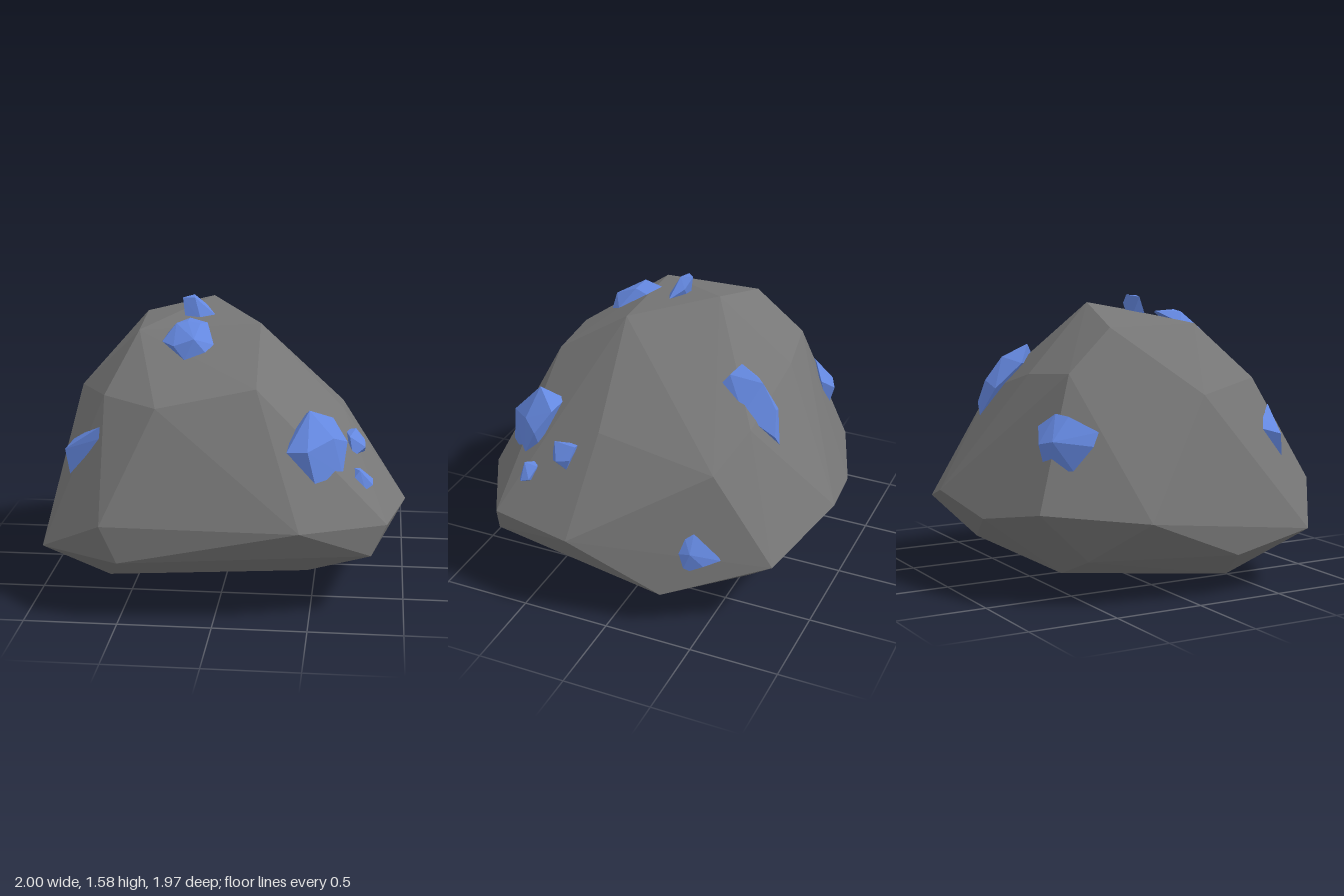
import * as THREE from 'three';
import { ConvexGeometry } from 'three/addons/geometries/ConvexGeometry.js';

const stone = new THREE.MeshStandardMaterial({ color: 0x777777, flatShading: true });
const blue = new THREE.MeshStandardMaterial({ color: 0x6488e0, flatShading: true });

// Faceted solid wrapped around a few corner points
function faceted(name, material, corners) {
  const points = corners.map((c) => new THREE.Vector3(...c));
  const mesh = new THREE.Mesh(new ConvexGeometry(points), material);
  mesh.name = name;
  return mesh;
}

export function createModel() {
  const model = new THREE.Group();
  model.name = 'crystalBoulder';

  // Boulder corners, in rings from crown to underside
  const crown = [
    [-0.11, 1.54, -0.19], [0.19, 1.47, 0.235], [-0.47, 1.43, 0.285], [-0.505, 1.43, -0.265],
  ];
  const shoulder = [
    [0.2, 1.2, 0.645], [-0.32, 1.11, 0.755], [-0.62, 1.13, 0.57], [-0.82, 1.08, 0.13],
    [-0.54, 1.2, -0.53], [-0.19, 1.17, -0.59], [0.36, 1.03, -0.57], [0.63, 0.87, -0.47],
    [0.65, 0.99, 0.19],
  ];
  const belt = [
    [0.45, 0.515, 0.955], [-0.59, 0.53, 0.98], [-0.5, 0.33, 0.975], [-0.945, 0.325, 0.73],
    [-1, 0.46, -0.29], [-0.69, 0.5, -0.78], [-0.31, 0.43, -0.925], [0.12, 0.52, -0.985],
    [0.64, 0.39, -0.82], [1, 0.495, 0.23], [0.9, 0.5, 0.71], [0.82, 0.335, 0.745],
  ];
  const underside = [
    [-0.955, 0.23, 0.265], [-0.64, 0.045, 0.4], [0.47, 0.13, 0.45], [0.66, 0.1, 0.08],
    [0.88, 0.21, -0.27], [0.27, 0, -0.17], [0.45, 0.16, -0.62], [-0.33, 0.085, -0.47],
    [-0.64, 0.21, -0.47],
  ];
  model.add(faceted('boulder', stone, [...crown, ...shoulder, ...belt, ...underside]));

  // Crystals half sunk into the boulder
  const crystal = (name, ...corners) => model.add(faceted(name, blue, corners));

  crystal('crownCrystal',
    [-0.26, 1.57, 0.06], [-0.2, 1.58, 0.01], [-0.19, 1.575, 0.08], [-0.13, 1.53, 0.03],
    [-0.07, 1.48, 0.1], [-0.15, 1.46, 0.14], [-0.24, 1.46, 0.11], [-0.2, 1.42, 0.03]);

  crystal('upperFrontCrystal',
    [-0.2, 1.485, 0.2], [-0.1, 1.47, 0.25], [-0.2, 1.49, 0.32], [-0.26, 1.48, 0.33],
    [-0.13, 1.48, 0.33], [-0.05, 1.38, 0.4], [-0.09, 1.35, 0.46], [-0.2, 1.31, 0.48],
    [-0.26, 1.38, 0.46], [-0.33, 1.39, 0.39], [-0.31, 1.42, 0.3], [-0.15, 1.42, 0.46]);

  crystal('largeFrontCrystal',
    [0.48, 1.09, 0.63], [0.45, 1.03, 0.49], [0.6, 1.02, 0.5], [0.68, 0.91, 0.57],
    [0.66, 0.75, 0.65], [0.52, 0.74, 0.79], [0.48, 0.91, 0.8], [0.37, 0.9, 0.78],
    [0.39, 0.97, 0.66], [0.61, 0.95, 0.66], [0.62, 0.78, 0.57]);

  crystal('smallSideCrystal',
    [0.66, 0.9, 0.3], [0.72, 0.91, 0.3], [0.69, 0.9, 0.44], [0.77, 0.85, 0.31],
    [0.775, 0.83, 0.39], [0.77, 0.79, 0.33], [0.71, 0.79, 0.45], [0.67, 0.8, 0.38]);

  crystal('tinySideCrystal',
    [0.71, 0.76, 0.54], [0.75, 0.76, 0.6], [0.75, 0.75, 0.52], [0.82, 0.7, 0.54],
    [0.82, 0.68, 0.59], [0.78, 0.66, 0.62], [0.71, 0.71, 0.625], [0.76, 0.66, 0.54]);

  crystal('lowerSideCrystal',
    [0.72, 0.63, -0.31], [0.72, 0.6, -0.41], [0.72, 0.47, -0.53], [0.73, 0.42, -0.56],
    [0.78, 0.39, -0.48], [0.81, 0.33, -0.36], [0.8, 0.44, -0.3], [0.8, 0.46, -0.41]);

  crystal('backCrystal',
    [0.15, 1.3, -0.43], [0.22, 1.26, -0.39], [0.25, 1.18, -0.33], [0.08, 1.2, -0.5],
    [0.19, 1.23, -0.57], [0.3, 1.08, -0.5], [0.22, 1.1, -0.66], [0.13, 1.06, -0.64],
    [0.28, 0.97, -0.68], [0.23, 0.9, -0.69]);

  crystal('backCornerCrystal',
    [-0.58, 0.85, -0.73], [-0.48, 0.93, -0.68], [-0.56, 1.0, -0.62], [-0.63, 0.99, -0.58],
    [-0.77, 0.92, -0.48], [-0.79, 0.85, -0.52], [-0.72, 0.72, -0.6], [-0.66, 0.87, -0.69],
    [-0.58, 0.7, -0.69]);

  crystal('frontCornerCrystal',
    [-0.63, 0.98, 0.67], [-0.73, 0.92, 0.57], [-0.8, 0.87, 0.52], [-0.83, 0.84, 0.62],
    [-0.8, 0.71, 0.65], [-0.68, 0.85, 0.68], [-0.63, 0.92, 0.69]);

  return model;
}
